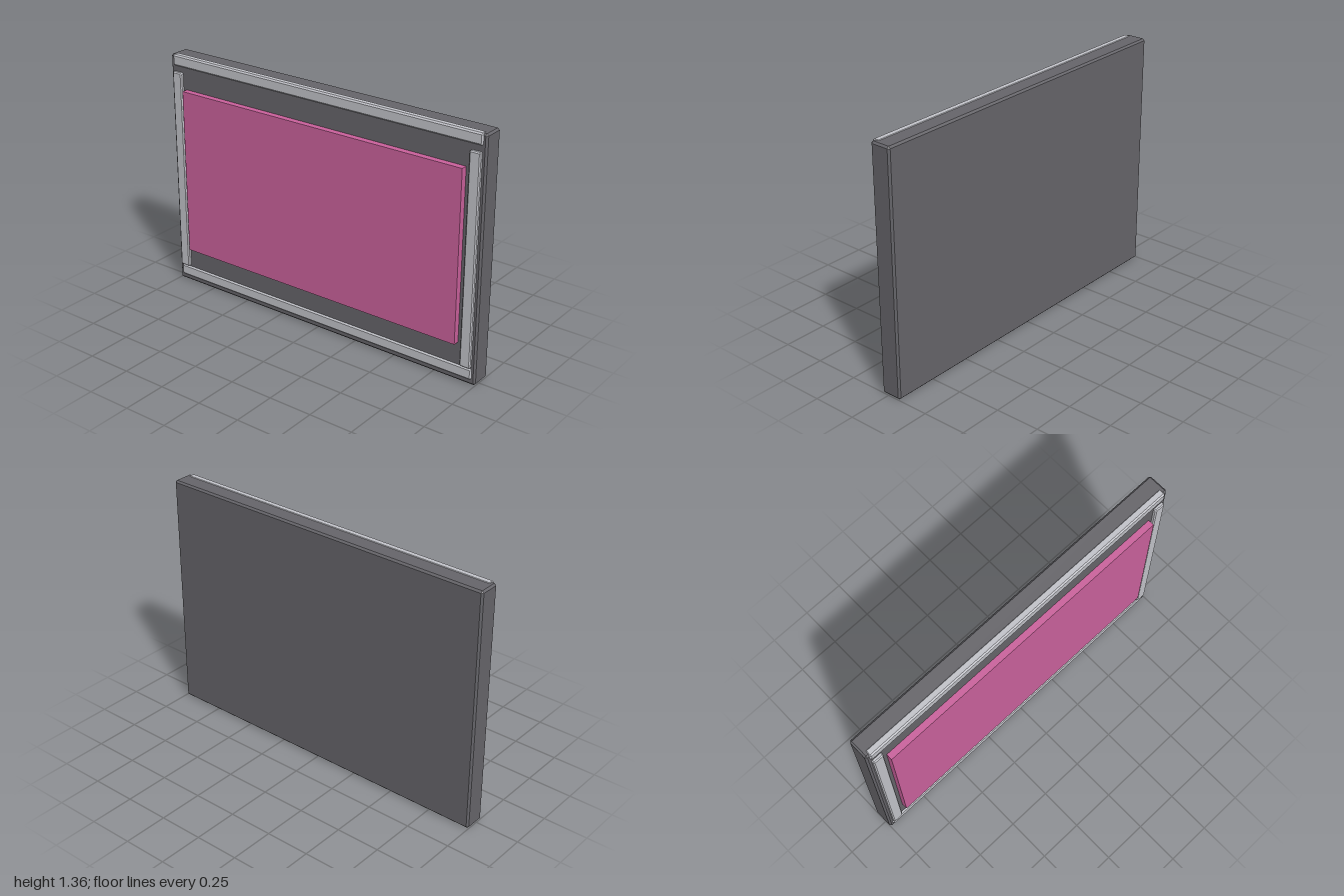
import * as THREE from 'three';
import { ConvexGeometry } from 'three/addons/geometries/ConvexGeometry.js';

// Box with flat chamfered edges
function chamferBox(w, h, d, c) {
  const half = [w / 2, h / 2, d / 2];
  const points = [];
  for (const sx of [-1, 1]) for (const sy of [-1, 1]) for (const sz of [-1, 1]) {
    for (let full = 0; full < 3; full++) {
      const p = half.map((v, i) => (i === full ? v : v - c));
      points.push(new THREE.Vector3(p[0] * sx, p[1] * sy, p[2] * sz));
    }
  }
  return new ConvexGeometry(points);
}

export function createModel() {
  const model = new THREE.Group();
  model.name = 'framedPanel';

  const dark = new THREE.MeshStandardMaterial({ color: 0x66656a, flatShading: true });
  const light = new THREE.MeshStandardMaterial({ color: 0xc2c3c9, flatShading: true });
  const pink = new THREE.MeshStandardMaterial({ color: 0xca619c, flatShading: true });

  // Adds a part from its minimum and maximum corners
  function add(name, material, [x0, y0, z0], [x1, y1, z1], chamfer) {
    const size = [x1 - x0, y1 - y0, z1 - z0];
    const geometry = chamfer ? chamferBox(...size, chamfer) : new THREE.BoxGeometry(...size);
    const mesh = new THREE.Mesh(geometry, material);
    mesh.name = name;
    mesh.position.set((x0 + x1) / 2, (y0 + y1) / 2, (z0 + z1) / 2);
    model.add(mesh);
  }

  // Backing slab
  add('backPanel', dark, [-1, 0, -0.077], [1, 1.36, 0.042], 0.01);

  // Horizontal trim; the top strip stands just proud of the slab
  add('topTrim', light, [-0.98, 1.3, 0.008], [0.98, 1.363, 0.05], 0.008);
  add('bottomTrim', light, [-0.98, 0.03, 0.008], [0.98, 0.093, 0.05], 0.008);

  // Vertical trim
  add('leftTrim', light, [0.915, 0.098, 0.018], [0.977, 1.268, 0.06], 0.006);
  add('rightTrim', light, [-0.977, 0.098, 0.018], [-0.915, 1.268, 0.06], 0.006);

  // Raised screen
  add('screen', pink, [-0.892, 0.22, 0.03], [0.892, 1.175, 0.077], 0);

  return model;
}
